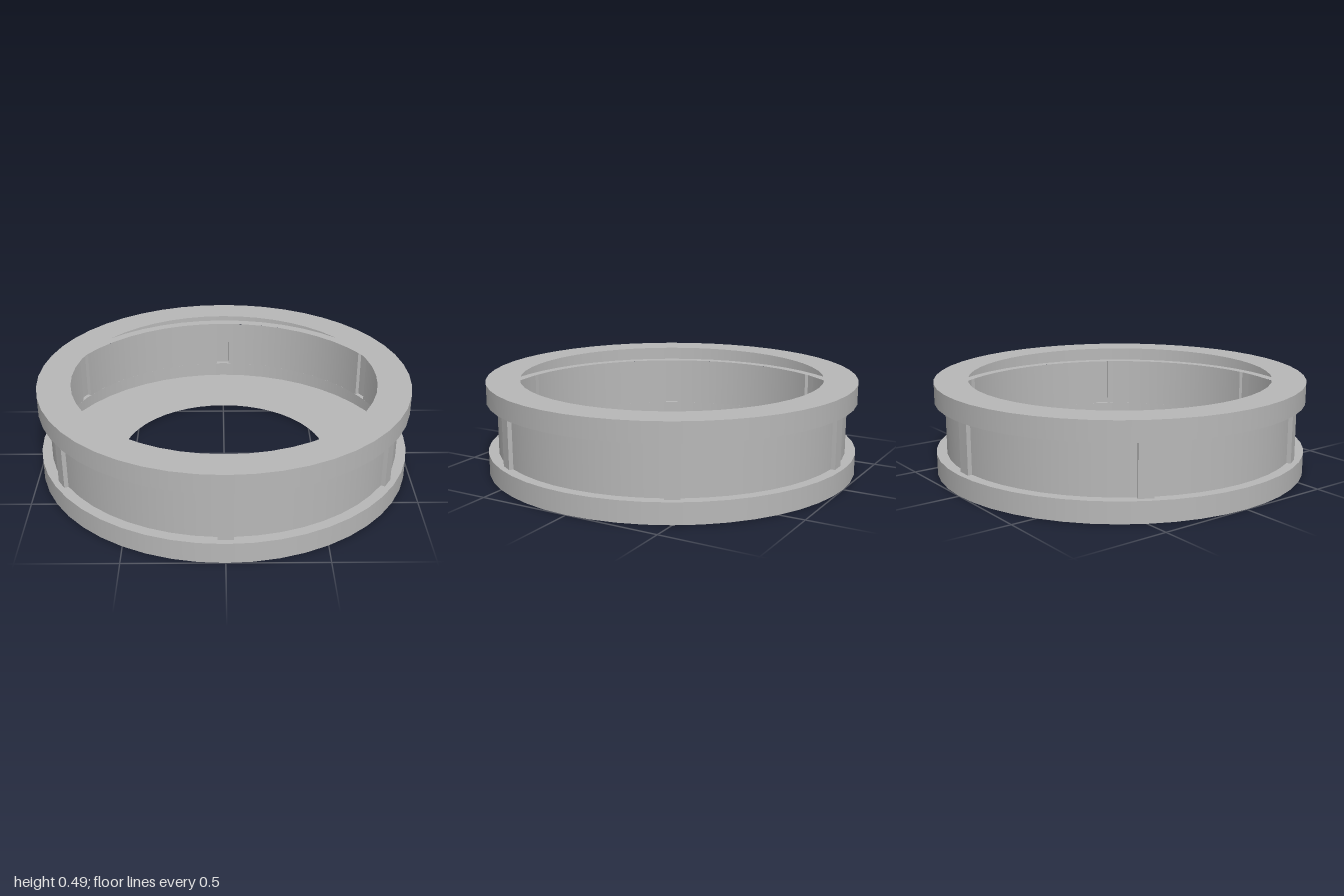
import * as THREE from 'three';

export function createModel() {
  const group = new THREE.Group();
  const grey = new THREE.MeshStandardMaterial({ color: 0xb8b8b8, side: THREE.DoubleSide });
  grey.name = 'grey';

  const add = (name, geometry, parent = group) => {
    const mesh = new THREE.Mesh(geometry, grey);
    mesh.name = name;
    parent.add(mesh);
    return mesh;
  };

  // One band of revolution; separate bands keep the corners sharp
  const band = (name, r0, y0, r1, y1, segments = 48, start = 0, sweep = Math.PI * 2) =>
    add(name, new THREE.LatheGeometry(
      [new THREE.Vector2(r0, y0), new THREE.Vector2(r1, y1)], segments, start, sweep));

  const outer = 1, wall = 0.945, low = 0.11, high = 0.385, top = 0.49;

  // Hollow lower rim with a wide floor
  band('floor', 0.575, 0, outer, 0);
  band('lowerRim', outer, 0, outer, low);
  band('lowerLedge', outer, low, wall, low);

  // Hollow upper rim with an inward lip
  band('upperLedge', wall, high, outer, high);
  band('upperRim', outer, high, outer, top);
  band('topLip', outer, top, 0.82, top);

  // Thin wall in six arcs, with a channel-shaped rib between each pair
  const half = 0.038, ribFace = 0.967, height = high - low;
  const gap = Math.asin(half / wall), step = Math.PI / 3;
  const ribStart = wall * Math.cos(gap), depth = ribFace - ribStart;
  for (let i = 0; i < 6; i++) {
    band('wallArc', wall, low, wall, high, 8, i * step + gap, step - 2 * gap);

    const rib = new THREE.Group();
    rib.name = 'rib';
    rib.rotation.y = i * step;
    add('ribFace', new THREE.PlaneGeometry(half * 2, height), rib)
      .position.set(0, (low + high) / 2, ribFace);
    for (const side of [-1, 1]) {
      const flank = add('ribSide', new THREE.PlaneGeometry(depth, height), rib);
      flank.position.set(side * half, (low + high) / 2, ribStart + depth / 2);
      flank.rotation.y = side * Math.PI / 2;
    }
    group.add(rib);
  }
  return group;
}
